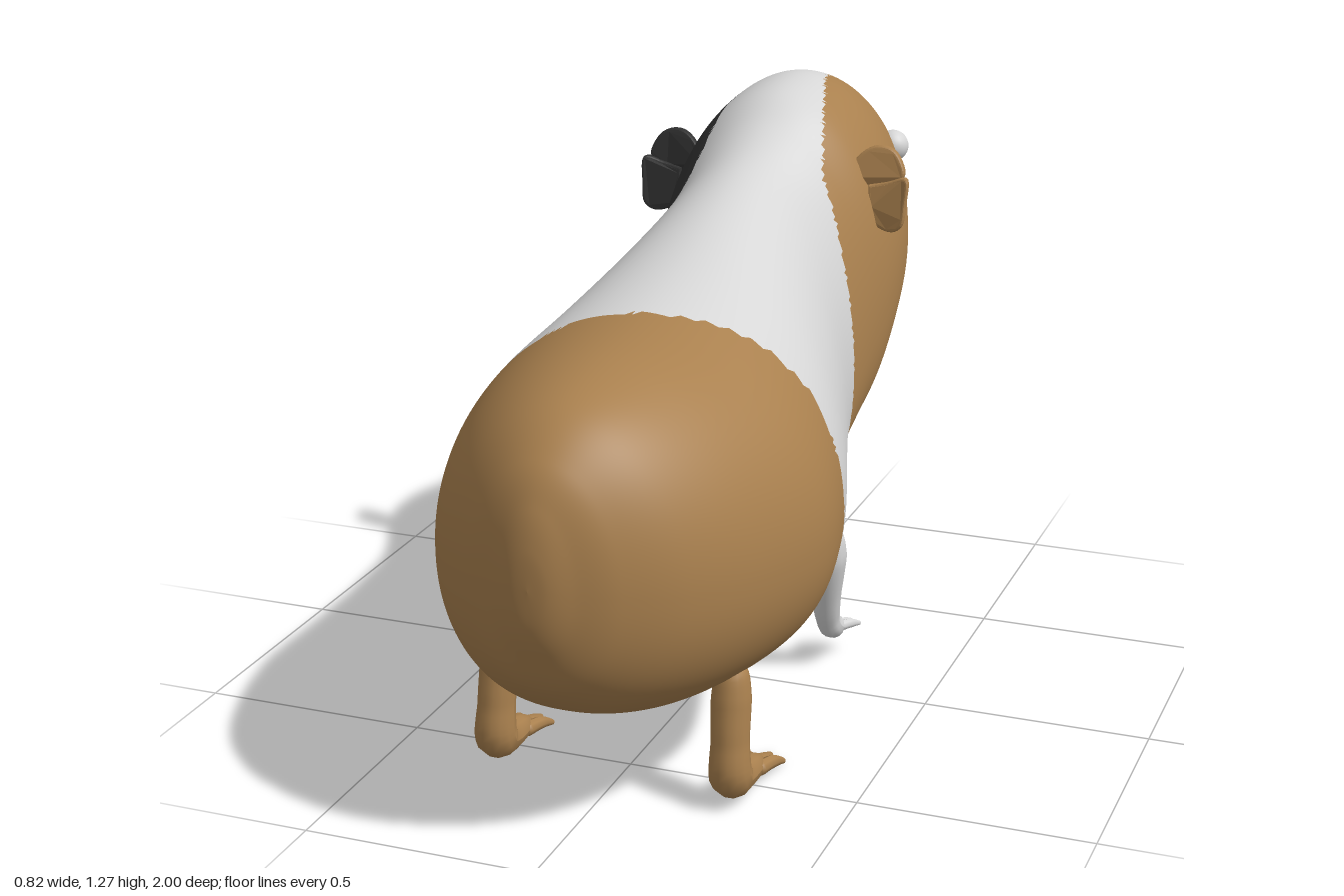
import * as THREE from 'three';

const material = (name, color) => {
  const m = new THREE.MeshStandardMaterial({ color });
  m.name = name;
  return m;
};

// piecewise-linear lookup in [[input, output], ...] sorted by input
function lookup(table, v) {
  if (v <= table[0][0]) return table[0][1];
  for (let i = 1; i < table.length; i++) {
    const [a, fa] = table[i - 1], [b, fb] = table[i];
    if (v <= b) return fa + (fb - fa) * (v - a) / (b - a);
  }
  return table[table.length - 1][1];
}

// body sections from rump to nose: z, top, bottom, half width, height of widest point
const SECTIONS = [
  [1, 0.6, 0.6, 0, 0.6], [0.995, 0.68, 0.52, 0.04, 0.6], [0.975, 0.76, 0.45, 0.085, 0.59],
  [0.93, 0.84, 0.36, 0.165, 0.58], [0.83, 0.915, 0.28, 0.265, 0.56], [0.67, 0.955, 0.23, 0.35, 0.545],
  [0.45, 0.975, 0.217, 0.41, 0.54], [0.25, 1.015, 0.232, 0.385, 0.55], [0.05, 1.08, 0.265, 0.325, 0.57],
  [-0.1, 1.13, 0.32, 0.28, 0.61], [-0.2, 1.165, 0.365, 0.262, 0.66], [-0.3, 1.21, 0.405, 0.268, 0.73],
  [-0.4, 1.257, 0.455, 0.28, 0.8], [-0.5, 1.275, 0.545, 0.277, 0.85], [-0.6, 1.274, 0.635, 0.26, 0.88],
  [-0.72, 1.237, 0.675, 0.222, 0.91], [-0.82, 1.165, 0.71, 0.18, 0.93], [-0.9, 1.105, 0.77, 0.13, 0.94],
  [-0.96, 1.055, 0.845, 0.08, 0.945], [-0.99, 1.015, 0.895, 0.04, 0.95], [-1, 0.95, 0.95, 0, 0.95],
];

// smooth interpolation between the sections
function sectionAt(u) {
  const last = SECTIONS.length - 1, f = u * last;
  const i = Math.min(Math.floor(f), last - 1), t = f - i;
  const at = (k) => SECTIONS[Math.max(0, Math.min(last, k))];
  return SECTIONS[0].map((_, c) => {
    const a = at(i - 1)[c], b = at(i)[c], d = at(i + 1)[c], e = at(i + 2)[c];
    const m0 = (d - a) / 2, m1 = (e - b) / 2;
    return b + t * (m0 + t * (3 * (d - b) - 2 * m0 - m1 + t * (2 * (b - d) + m0 + m1)));
  });
}

// coat pattern borders
const RUMP_EDGE = [[-90, 0.33], [-60, 0.27], [0, 0.26], [35, 0.29], [60, 0.35], [80, 0.405],
  [95, 0.425], [130, 0.45], [180, 0.46], [225, 0.41], [270, 0.33]];
const RIGHT_EDGE = [[0.28, -0.06], [0.33, -0.11], [0.46, -0.15], [0.66, -0.19], [0.85, -0.21],
  [1.01, -0.235], [1.14, -0.28], [1.22, -0.35]];
const LEFT_EDGE = [[0.28, 0], [0.32, 0.06], [0.5, 0.05], [0.8, 0], [0.9, -0.03], [1.05, -0.06]];
const BLAZE_RIGHT = [[-0.985, 0], [-0.97, 0.03], [-0.88, 0.06], [-0.8, 0.05], [-0.69, 0.04],
  [-0.58, 0.06], [-0.45, 0.1], [-0.35, 0.13], [-0.28, 0.155], [-0.2, 0.26]];
const BLAZE_LEFT = [[-0.985, 0], [-0.97, 0.035], [-0.88, 0.065], [-0.74, 0.07], [-0.66, 0.06],
  [-0.6, 0.1], [-0.48, 0.13], [-0.32, 0.14], [-0.21, 0.15], [-0.1, 0.19], [-0.03, 0.235]];

// 0 brown, 1 white, 2 black
function coat(x, y, z, angle, upper) {
  if (z > lookup(RUMP_EDGE, angle)) return 0;
  const right = x > 0;
  if (z > lookup(right ? RIGHT_EDGE : LEFT_EDGE, y)) return 1;
  if (upper && Math.abs(x) < lookup(right ? BLAZE_RIGHT : BLAZE_LEFT, z)) return 1;
  return right ? 0 : 2;
}

function bodyGeometry() {
  const rows = 220, cols = 160, pos = [], faces = [[], [], []];
  const bend = (v, n) => Math.sign(v) * Math.abs(v) ** (2 / n);
  for (let i = 0; i <= rows; i++) {
    const [z, top, bottom, w, mid] = sectionAt(i / rows);
    for (let j = 0; j < cols; j++) {
      const a = (j / cols) * Math.PI * 2 - Math.PI / 2, c = Math.cos(a), s = Math.sin(a);
      const n = s > 0 ? 1.95 : 2.3;
      pos.push(w * bend(c, n), mid + (s > 0 ? top - mid : mid - bottom) * bend(s, n), z);
    }
  }
  for (let i = 0; i < rows; i++) for (let j = 0; j < cols; j++) {
    const a = i * cols + j, b = i * cols + (j + 1) % cols, c = a + cols, d = b + cols;
    const angle = ((j + 0.5) / cols) * 360 - 90;
    for (const tri of [[a, c, b], [b, c, d]]) {
      const [x, y, z] = [0, 1, 2].map((k) => tri.reduce((t, v) => t + pos[v * 3 + k], 0) / 3);
      faces[coat(x, y, z, angle, angle > 0 && angle < 180)].push(...tri);
    }
  }
  const g = new THREE.BufferGeometry();
  g.setAttribute('position', new THREE.Float32BufferAttribute(pos, 3));
  g.setIndex(faces.flat());
  g.computeVertexNormals();
  let start = 0;
  faces.forEach((f, k) => { g.addGroup(start, f.length, k); start += f.length; });
  return g;
}

// tapered tube through [x, y, z, radius] points, closed at both ends
function limb(points, segments = 28, sides = 14) {
  const curve = new THREE.CatmullRomCurve3(points.map((p) => new THREE.Vector3(p[0], p[1], p[2])));
  const g = new THREE.TubeGeometry(curve, segments, 1, sides);
  const p = g.attributes.position, uv = g.attributes.uv, v = new THREE.Vector3();
  const radii = points.map((q, i) => [i / (points.length - 1), q[3]]);
  for (let i = 0; i < p.count; i++) {
    const u = uv.getX(i), centre = curve.getPointAt(u);
    const t = curve.getUtoTmapping(u);
    const r = lookup(radii, t) * Math.sqrt(Math.max(0, 1 - Math.abs(2 * u - 1) ** 16));
    v.fromBufferAttribute(p, i).sub(centre).multiplyScalar(r).add(centre);
    p.setXYZ(i, v.x, v.y, v.z);
  }
  g.computeVertexNormals();
  return g;
}

// thin ear plate, leaning forward at the top and cupped by a rule
function earPlate(side, outline, z, cup) {
  const shape = new THREE.Shape();
  shape.setFromPoints(new THREE.SplineCurve(
    [...outline, outline[0]].map(([x, y]) => new THREE.Vector2(side * x, y))).getPoints(40));
  const g = new THREE.ExtrudeGeometry(shape, {
    depth: 0.008, bevelThickness: 0.006, bevelSize: 0.006, bevelOffset: -0.006, bevelSegments: 3 });
  const p = g.attributes.position;
  for (let i = 0; i < p.count; i++) {
    const x = Math.abs(p.getX(i)), y = p.getY(i);
    p.setZ(i, p.getZ(i) + z - (y - 1.06) * 0.16 + cup * ((x - 0.26) / 0.06) ** 2);
  }
  g.computeVertexNormals();
  return g;
}

export function createModel() {
  const brown = material('ginger fur', 0xa9804e);
  const white = material('white fur', 0xd6d6d6);
  const black = material('black fur', 0x313131);
  const model = new THREE.Group();
  model.name = 'guineaPig';
  const add = (parent, name, geometry, mat) => {
    const m = new THREE.Mesh(geometry, mat);
    m.name = name;
    parent.add(m);
    return m;
  };
  const group = (name) => {
    const g = new THREE.Group();
    g.name = name;
    model.add(g);
    return g;
  };

  add(model, 'body', bodyGeometry(), [brown, white, black]);

  for (const s of [1, -1]) {
    const label = s > 0 ? 'Left' : 'Right';

    // eye
    add(model, 'eye' + label, new THREE.SphereGeometry(0.037, 24, 16), white)
      .position.set(s * 0.18, 1.08, -0.73);

    // ear: rounded upper lobe and a drooping outer flap
    const ear = group('ear' + label), earColor = s > 0 ? brown : black;
    add(ear, 'earLobe', earPlate(s, [[0.17, 1.08], [0.195, 1.13], [0.235, 1.155], [0.28, 1.145],
      [0.305, 1.1], [0.285, 1.075], [0.23, 1.06]], -0.412, 0.008), earColor);
    add(ear, 'earFlap', earPlate(s, [[0.225, 1.07], [0.27, 1.08], [0.316, 1.09], [0.316, 1.03],
      [0.31, 0.985], [0.28, 0.968], [0.24, 0.985], [0.228, 1.03]], -0.405, 0.015), earColor);

    // front leg and four toes
    const front = group('frontLeg' + label), frontColor = s > 0 ? white : black;
    add(front, 'frontShin', limb([[s * 0.25, 0.375, -0.05, 0.036], [s * 0.25, 0.3, -0.06, 0.043],
      [s * 0.24, 0.2, -0.085, 0.034], [s * 0.235, 0.125, -0.115, 0.027],
      [s * 0.237, 0.098, -0.14, 0.03], [s * 0.24, 0.09, -0.18, 0.018]]), frontColor);
    for (let i = 0; i < 4; i++) {
      const k = i - 1.5;
      add(front, 'frontToe' + (i + 1), limb([[s * (0.237 + k * 0.009), 0.097, -0.14, 0.012],
        [s * (0.24 + k * 0.018), 0.092, -0.18, 0.011],
        [s * (0.243 + k * 0.026), 0.08, -0.235 + Math.abs(k) * 0.012, 0.004]], 12, 8), frontColor);
    }

    // hind leg with a long flat foot and three toes
    const hind = group('hindLeg' + label);
    add(hind, 'hindShin', limb([[s * 0.255, 0.32, 0.575, 0.035], [s * 0.257, 0.24, 0.585, 0.042],
      [s * 0.26, 0.15, 0.6, 0.04], [s * 0.262, 0.075, 0.6, 0.046],
      [s * 0.262, 0.055, 0.56, 0.037], [s * 0.264, 0.044, 0.49, 0.03],
      [s * 0.265, 0.034, 0.43, 0.015]], 36), brown);
    for (let i = 0; i < 3; i++) {
      const k = i - 1;
      add(hind, 'hindToe' + (i + 1), limb([[s * (0.264 + k * 0.016), 0.042, 0.5, 0.017],
        [s * (0.265 + k * 0.027), 0.032, 0.43, 0.014],
        [s * (0.266 + k * 0.036), 0.01, 0.355 + Math.abs(k) * 0.02, 0.005]], 14, 8), brown);
    }
  }
  return model;
}
